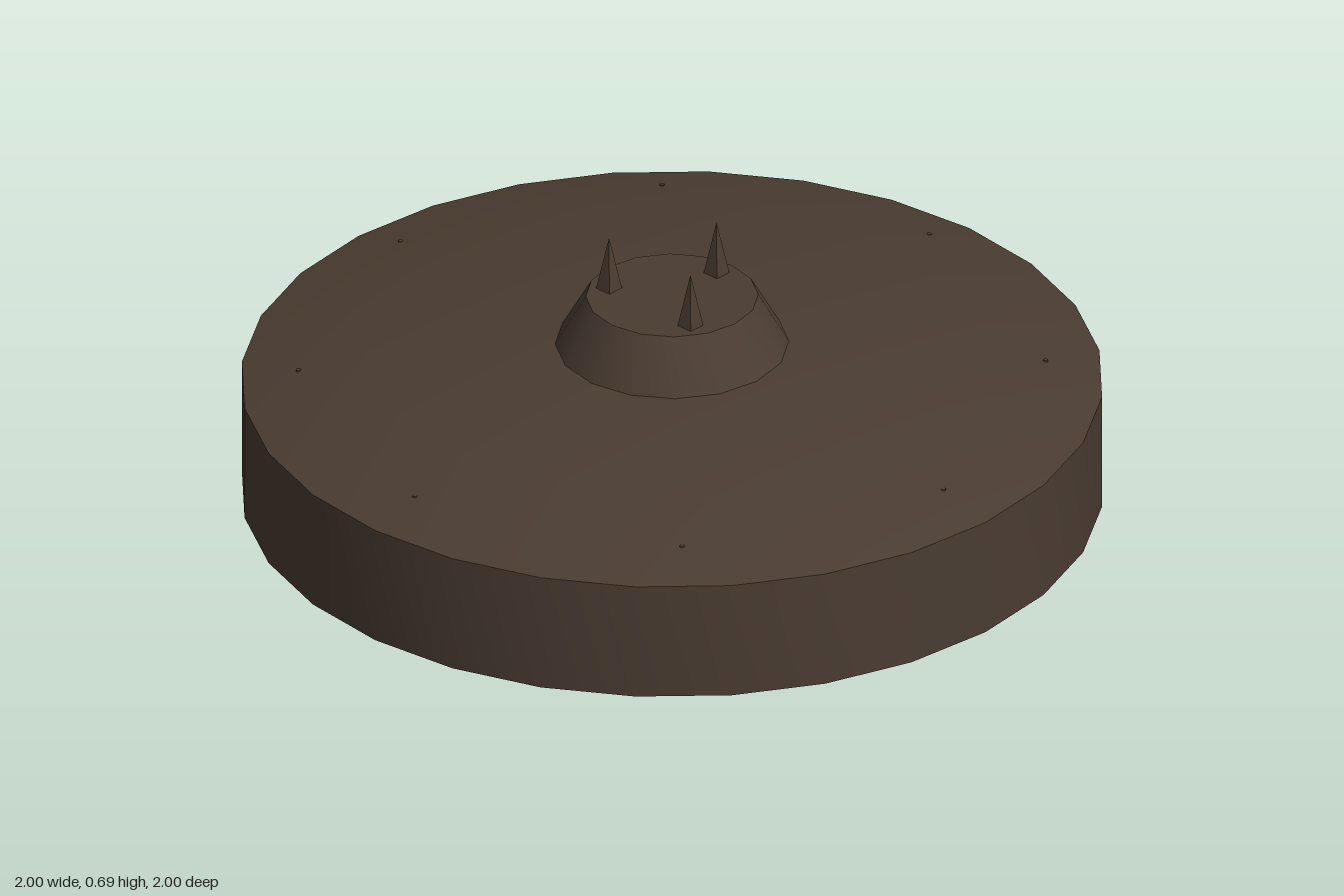
import * as THREE from 'three';
import { toCreasedNormals } from 'three/addons/utils/BufferGeometryUtils.js';

// Turned part: smooth around, sharp at profile corners
function turned(name, profile, sides, material) {
  const points = profile.map(([r, y]) => new THREE.Vector2(r, y));
  const mesh = new THREE.Mesh(toCreasedNormals(new THREE.LatheGeometry(points, sides), 0.5), material);
  mesh.name = name;
  return mesh;
}

export function createModel() {
  const model = new THREE.Group();
  model.name = 'disc';
  const brown = new THREE.MeshStandardMaterial({ color: 0x4a3c32 });
  brown.name = 'dark brown metal';

  // Wide casing with bevelled base and sloped shoulder
  model.add(turned('casing', [[0, 0], [0.9, 0], [1, 0.045], [1, 0.335], [0.7, 0.417], [0, 0.442]], 28, brown));

  // Raised centre hub
  model.add(turned('hub', [[0.275, 0.425], [0.2, 0.557], [0, 0.557]], 16, brown));

  // Three square spikes on the hub
  const spikeGeometry = new THREE.ConeGeometry(0.031, 0.138, 4).rotateY(Math.PI / 4).toNonIndexed();
  spikeGeometry.computeVertexNormals();
  for (let i = 0; i < 3; i++) {
    const a = (i * Math.PI * 2) / 3;
    const spike = new THREE.Mesh(spikeGeometry, brown);
    spike.name = 'spike' + (i + 1);
    spike.position.set(Math.cos(a) * 0.15, 0.621, Math.sin(a) * 0.15);
    model.add(spike);
  }

  // Tiny studs barely breaking through the shoulder
  const studGeometry = new THREE.CylinderGeometry(0.006, 0.006, 0.02, 6);
  for (let i = 0; i < 8; i++) {
    const a = (i * Math.PI) / 4;
    const stud = new THREE.Mesh(studGeometry, brown);
    stud.name = 'stud' + (i + 1);
    stud.position.set(Math.cos(a) * 0.866, 0.364, Math.sin(a) * 0.866);
    model.add(stud);
  }
  return model;
}
